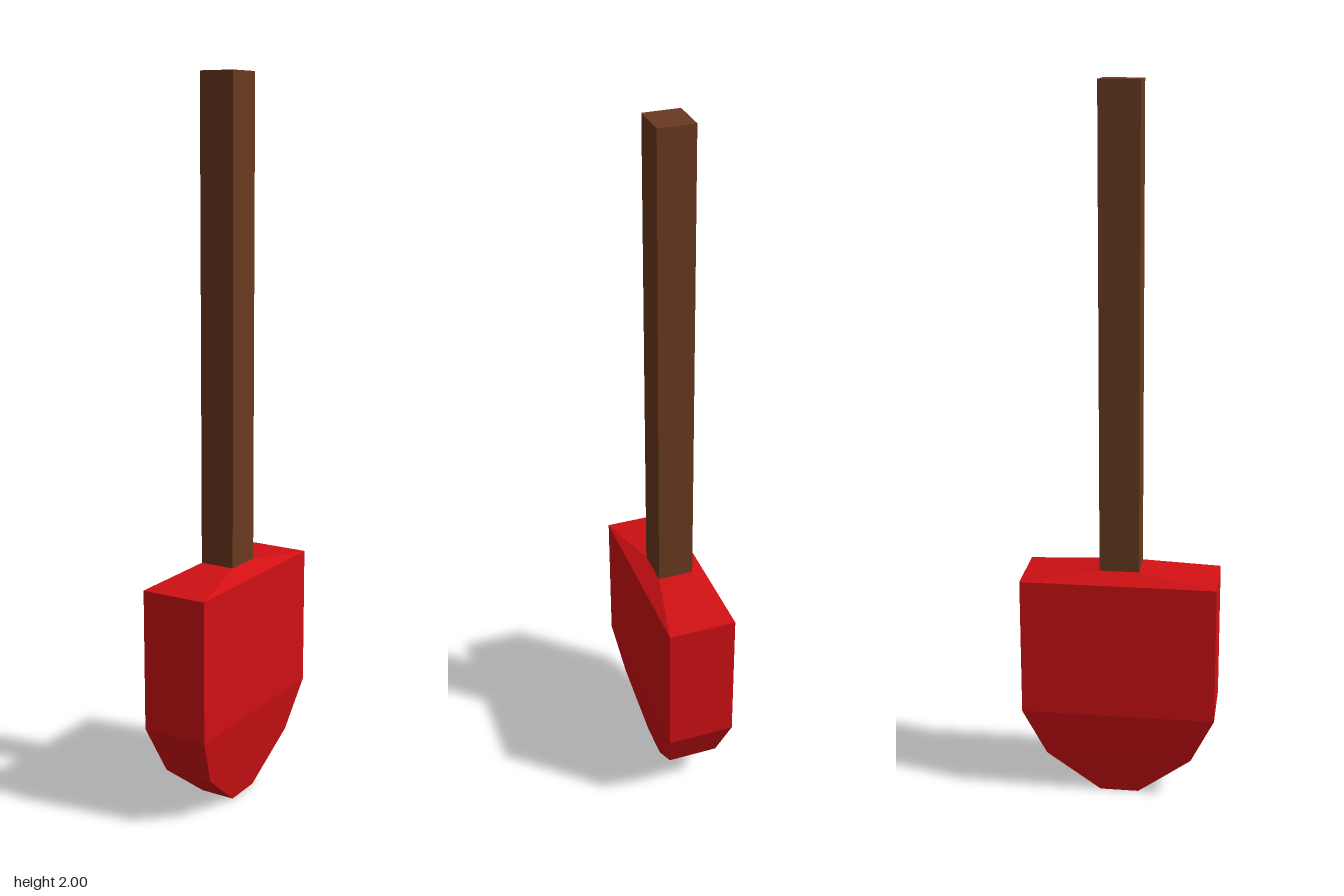
import * as THREE from 'three';

// Closed solid lofted through rectangular sections [y, halfWidthX, halfDepthZ]
function loftRects(sections) {
  const corners = [[1, 1], [1, -1], [-1, -1], [-1, 1]];
  const positions = sections.flatMap(([y, hx, hz]) =>
    corners.flatMap(([sx, sz]) => [sx * hx, y, sz * hz]));
  const index = [];
  const quad = (a, b, c, d) => index.push(a, b, c, a, c, d);
  const last = (sections.length - 1) * 4;
  for (let r = 0; r < last; r += 4) {
    for (let i = 0; i < 4; i++) {
      const j = (i + 1) % 4;
      quad(r + i, r + j, r + 4 + j, r + 4 + i);
    }
  }
  quad(3, 2, 1, 0);
  quad(last, last + 1, last + 2, last + 3);
  const indexed = new THREE.BufferGeometry();
  indexed.setAttribute('position', new THREE.Float32BufferAttribute(positions, 3));
  indexed.setIndex(index);
  const geometry = indexed.toNonIndexed();
  geometry.computeVertexNormals();
  return geometry;
}

export function createModel() {
  const group = new THREE.Group();
  group.name = 'shovel';

  const add = (name, geometry, color) => {
    const material = new THREE.MeshStandardMaterial({ color, flatShading: true });
    const mesh = new THREE.Mesh(geometry, material);
    mesh.name = name;
    group.add(mesh);
    return mesh;
  };

  // Thick blade: tapered tip, straight body, sloped shoulders
  add('blade', loftRects([
    [0, 0.05, 0.055],
    [0.12, 0.072, 0.207],
    [0.26, 0.095, 0.273],
    [0.655, 0.095, 0.273],
    [0.682, 0.05, 0.055],
  ]), 0xd01014);

  // Square wooden handle rising from the shoulders
  const handle = add('handle', new THREE.BoxGeometry(0.1, 1.318, 0.11), 0x6a3a20);
  handle.position.y = 0.682 + 1.318 / 2;

  return group;
}
